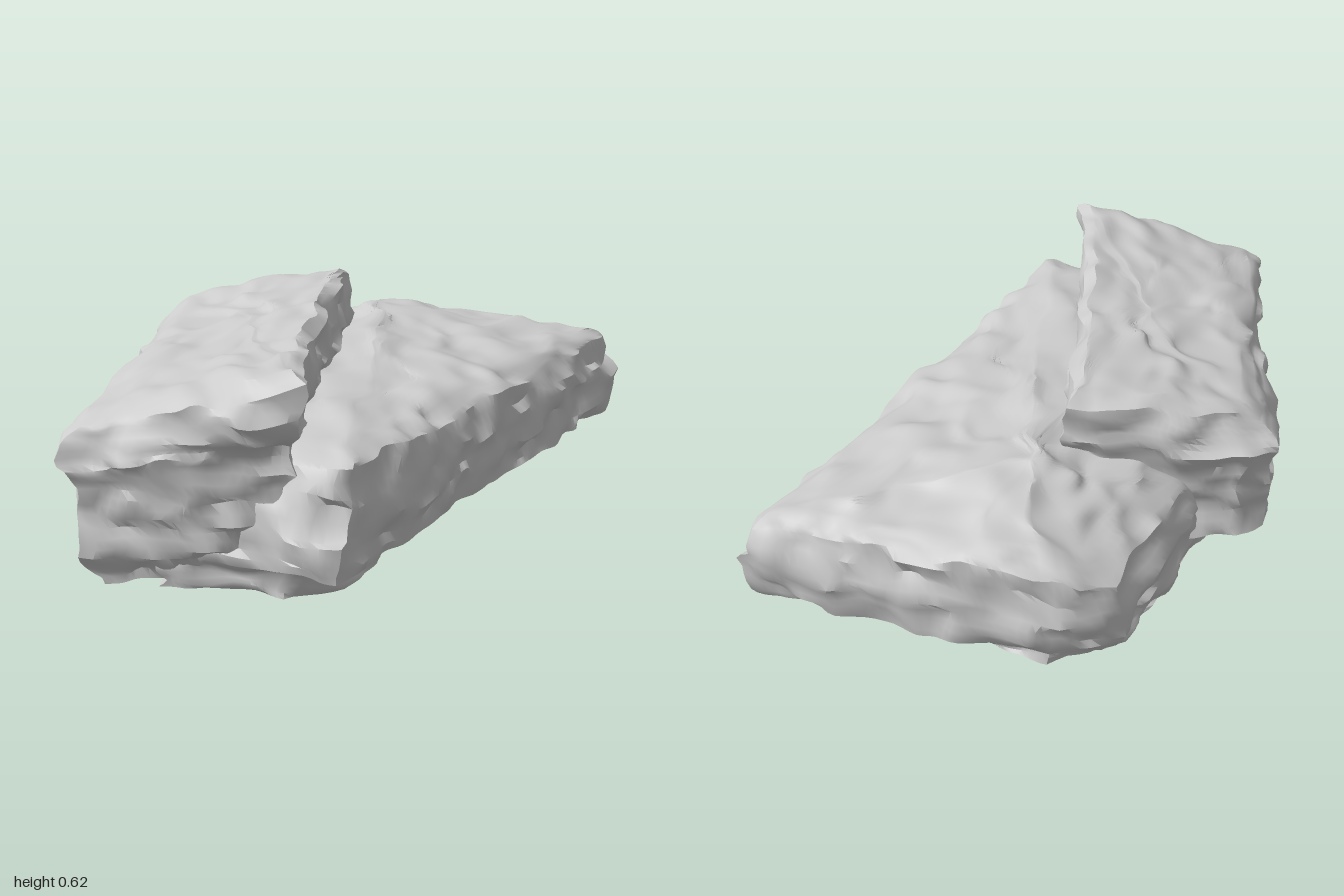
import * as THREE from 'three';
import { toCreasedNormals } from 'three/addons/utils/BufferGeometryUtils.js';

// Seeded value noise, range -1..1
function hash(x, y, z) {
  let h = Math.imul(x, 374761393) ^ Math.imul(y, 668265263) ^ Math.imul(z, 1274126177);
  h = Math.imul(h ^ (h >>> 13), 1103515245);
  return (((h ^ (h >>> 16)) >>> 0) / 4294967295) * 2 - 1;
}
function noise(x, y, z) {
  const i = Math.floor(x), j = Math.floor(y), k = Math.floor(z);
  const s = (t) => t * t * (3 - 2 * t);
  const u = s(x - i), v = s(y - j), w = s(z - k);
  let n = 0;
  for (let a = 0; a < 2; a++)
    for (let b = 0; b < 2; b++)
      for (let c = 0; c < 2; c++)
        n += hash(i + a, j + b, k + c) * (a ? u : 1 - u) * (b ? v : 1 - v) * (c ? w : 1 - w);
  return n;
}

// Weathering: horizontal strata plus finer chips
function weather(p, seed) {
  const { x, y, z } = p;
  const f = (q) =>
    0.022 * noise(x * 6 + q, y * 14 + seed, z * 6) +
    0.02 * noise(x * 13 + q, y * 26, z * 13 + seed);
  p.x += f(11);
  p.y += 0.75 * f(37);
  p.z += f(71);
  p.y = Math.max(p.y, 0.006);
}

// Loft through rings of [x, y, z] corners, closed by a bottom and a top centre
function rock(name, rings, bottom, top, seed, material) {
  const n = rings[0].length;
  const all = [rings[0].map(() => bottom), ...rings, rings[0].map(() => top)]
    .map((r) => r.map((c) => new THREE.Vector3(...c)));
  // subdivisions along each polygon edge, by length
  const mid = all[Math.floor(all.length / 2)];
  const along = mid.map((c, i) => Math.max(3, Math.round(c.distanceTo(mid[(i + 1) % n]) / 0.025)));
  const rows = [];
  const addRow = (A, B, t) => {
    const row = [];
    for (let i = 0; i < n; i++) {
      const a = A[i].clone().lerp(B[i], t);
      const b = A[(i + 1) % n].clone().lerp(B[(i + 1) % n], t);
      for (let k = 0; k < along[i]; k++) {
        const p = a.clone().lerp(b, k / along[i]);
        weather(p, seed);
        row.push(p);
      }
    }
    rows.push(row);
  };
  for (let r = 0; r < all.length - 1; r++) {
    const cap = r === 0 || r === all.length - 2;
    const steps = cap ? 20 : Math.max(2, Math.round(all[r][0].distanceTo(all[r + 1][0]) / 0.025));
    for (let s = 0; s < steps; s++) addRow(all[r], all[r + 1], s / steps);
  }
  addRow(all[all.length - 1], all[all.length - 1], 0);

  const count = rows[0].length, pos = [], index = [];
  rows.forEach((row) => row.forEach((p) => pos.push(p.x, p.y, p.z)));
  for (let r = 0; r < rows.length - 1; r++) {
    for (let i = 0; i < count; i++) {
      const a = r * count + i, b = r * count + ((i + 1) % count);
      if (r < rows.length - 2) index.push(a, a + count, b + count);
      if (r > 0) index.push(a, b + count, b);
    }
  }
  const g = new THREE.BufferGeometry();
  g.setAttribute('position', new THREE.Float32BufferAttribute(pos, 3));
  g.setIndex(index);
  const mesh = new THREE.Mesh(toCreasedNormals(g, 0.7), material);
  mesh.name = name;
  return mesh;
}

// Ring at one height from [x, z] corners
const level = (y, pts) => pts.map(([x, z]) => [x, y, z]);

export function createModel() {
  const group = new THREE.Group();
  group.name = 'stackedRocks';
  const material = new THREE.MeshStandardMaterial({ color: 0xcccccc });

  // Long lower slab: recessed foot, overhanging front right corner, low lump at the back
  group.add(rock('lowerSlab', [
    level(0.01, [[0.64, 0.32], [-0.56, 0.49], [-0.68, 0.4], [-0.82, 0.1], [0, -0.38], [0.54, -0.39], [0.7, -0.24], [0.76, -0.05]]),
    level(0.085, [[0.72, 0.4], [-0.62, 0.53], [-0.7, 0.44], [-0.82, 0.1], [0.1, -0.4], [0.6, -0.43], [0.74, -0.27], [0.8, -0.06]]),
    level(0.1, [[0.95, 0.55], [-0.7, 0.57], [-0.73, 0.49], [-0.8, 0.1], [0.1, -0.4], [0.61, -0.43], [0.76, -0.3], [0.83, -0.05]]),
    level(0.22, [[0.995, 0.55], [-0.67, 0.59], [-0.745, 0.49], [-0.78, 0.1], [0.15, -0.42], [0.65, -0.44], [0.77, -0.31], [0.85, -0.05]]),
    [[0.97, 0.35, 0.54], [-0.62, 0.37, 0.565], [-0.66, 0.37, 0.47], [-0.7, 0.38, 0.1],
      [0.2, 0.31, -0.4], [0.63, 0.31, -0.41], [0.76, 0.35, -0.29], [0.83, 0.38, -0.05]],
    [[0.9, 0.385, 0.49], [-0.56, 0.405, 0.5], [-0.6, 0.4, 0.43], [-0.6, 0.4, 0.1],
      [0.22, 0.38, -0.3], [0.6, 0.37, -0.32], [0.71, 0.41, -0.24], [0.77, 0.42, -0.04]],
  ], [0.1, 0.006, 0.05], [0.5, 0.475, -0.05], 3, material));

  // Thick block set diagonally across the back, its top tilted backwards
  group.add(rock('upperBlock', [
    level(0.02, [[0.2, -0.05], [-0.5, 0.27], [-0.62, 0.33], [-0.7, 0.25], [-0.9, -0.02], [-0.1, -0.44], [0, -0.43], [0.15, -0.25]]),
    level(0.12, [[0.28, -0.06], [-0.5, 0.3], [-0.68, 0.38], [-0.75, 0.3], [-0.96, -0.04], [-0.02, -0.56], [0.07, -0.52], [0.22, -0.28]]),
    level(0.3, [[0.3, -0.08], [-0.5, 0.31], [-0.7, 0.41], [-0.77, 0.32], [-0.98, -0.05], [0, -0.58], [0.09, -0.53], [0.24, -0.28]]),
    [[0.32, 0.43, -0.09], [-0.51, 0.43, 0.32], [-0.69, 0.42, 0.42], [-0.77, 0.42, 0.33], [-1, 0.39, -0.06],
      [0.02, 0.41, -0.595], [0.1, 0.43, -0.54], [0.25, 0.43, -0.29]],
    [[0.35, 0.47, -0.09], [-0.53, 0.46, 0.35], [-0.71, 0.46, 0.46], [-0.79, 0.45, 0.36], [-0.98, 0.42, -0.06],
      [0.02, 0.44, -0.585], [0.1, 0.46, -0.53], [0.27, 0.48, -0.28]],
    [[0.34, 0.585, -0.1], [-0.53, 0.585, 0.345], [-0.71, 0.59, 0.46], [-0.79, 0.56, 0.36], [-0.94, 0.46, -0.05],
      [0.02, 0.49, -0.53], [0.09, 0.53, -0.47], [0.25, 0.58, -0.27]],
    [[0.29, 0.615, -0.11], [-0.52, 0.6, 0.31], [-0.67, 0.615, 0.41], [-0.74, 0.59, 0.33], [-0.88, 0.48, -0.04],
      [0.02, 0.52, -0.48], [0.07, 0.55, -0.43], [0.21, 0.6, -0.26]],
  ], [-0.3, 0.01, -0.05], [-0.25, 0.57, -0.04], 17, material));

  return group;
}
